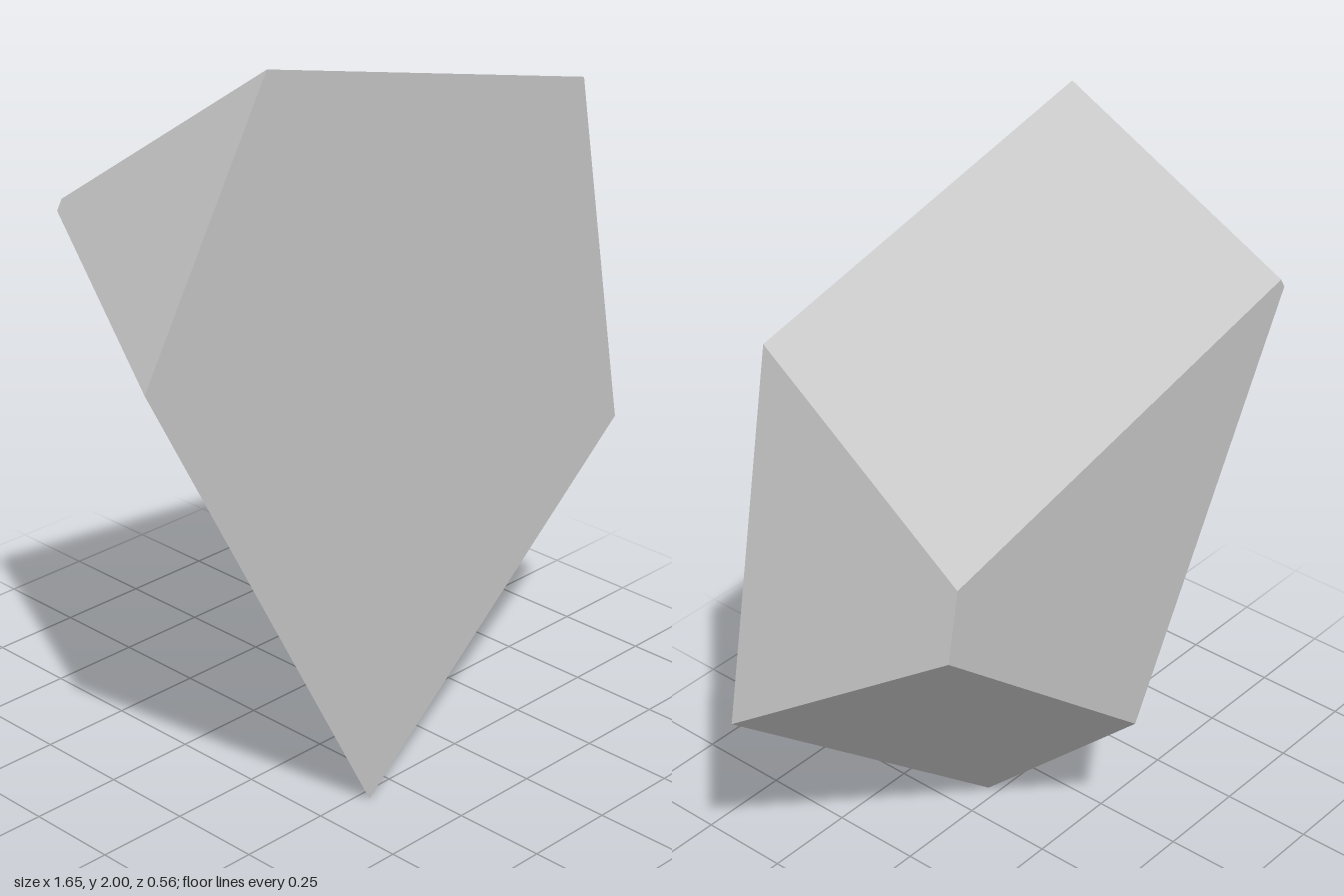
import * as THREE from 'three';

// Matching corners of the two pentagons, counter-clockwise seen from the front
const FRONT = [[-0.447, 2], [-0.828, 1.34], [-0.104, 0], [0.824, 0.77], [0.642, 1.742]];
const BACK = [[-0.575, 1.592], [-0.59, 1.566], [-0.033, 0.543], [0.661, 1.122], [0.626, 1.307]];
const HALF_DEPTH = 0.28;

// Flat-faced solid joining two outlines that have the same number of corners
function frustum(front, back, halfDepth) {
  const f = front.map(([x, y]) => new THREE.Vector3(x, y, halfDepth));
  const b = back.map(([x, y]) => new THREE.Vector3(x, y, -halfDepth));
  const points = [];
  const n = f.length;
  for (let i = 0; i < n; i++) {
    const j = (i + 1) % n;
    // sloping side
    points.push(f[i], b[i], b[j], f[i], b[j], f[j]);
    // fans for the front and back faces
    if (i > 0 && i < n - 1) points.push(f[0], f[i], f[j], b[0], b[j], b[i]);
  }
  const geometry = new THREE.BufferGeometry().setFromPoints(points);
  geometry.computeVertexNormals();
  return geometry;
}

export function createModel() {
  const group = new THREE.Group();
  group.name = 'stoneShard';

  const stone = new THREE.MeshStandardMaterial({ color: 0xc4c4c4 });
  stone.name = 'light grey stone';

  // Tapered five-sided block
  const shard = new THREE.Mesh(frustum(FRONT, BACK, HALF_DEPTH), stone);
  shard.name = 'shard';
  group.add(shard);

  return group;
}
